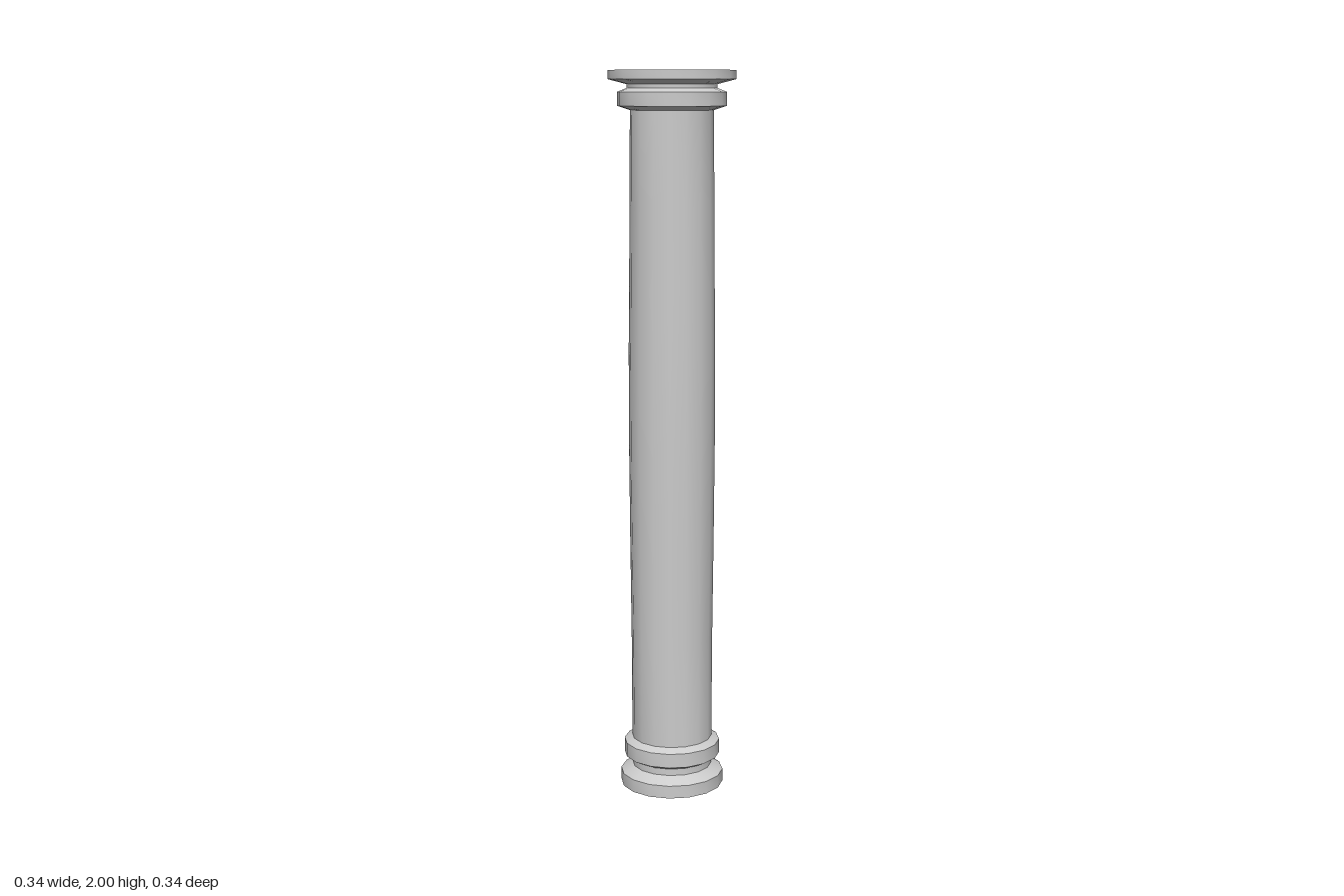
import * as THREE from 'three';
import { toCreasedNormals } from 'three/addons/utils/BufferGeometryUtils.js';

const SIDES = 16;

// Open shell turned from a [radius, height] profile, listed bottom to top
function turned(name, profile, material) {
  const points = profile.map(([r, y]) => new THREE.Vector2(r, y));
  const geometry = toCreasedNormals(new THREE.LatheGeometry(points, SIDES), Math.PI / 7);
  const mesh = new THREE.Mesh(geometry, material);
  mesh.name = name;
  return mesh;
}

export function createModel() {
  const column = new THREE.Group();
  column.name = 'column';
  const stone = new THREE.MeshStandardMaterial({ color: 0xcccccc, side: THREE.DoubleSide });

  // Base: foot ring, narrow neck and upper ring
  column.add(turned('base', [
    [0.145, 0], [0.145, 0.036], [0.112, 0.055], [0.112, 0.074],
    [0.135, 0.086], [0.135, 0.126], [0.113, 0.138],
  ], stone));

  // Shaft: hollow tube with a slight swelling at mid-height
  column.add(turned('shaft', [
    [0.113, 0.138], [0.114, 0.43], [0.117, 0.72], [0.119, 0.98],
    [0.119, 1.24], [0.117, 1.42], [0.115, 1.64], [0.113, 1.895],
  ], stone));

  // Capital: lower ring, neck and wide open rim
  column.add(turned('capital', [
    [0.113, 1.895], [0.147, 1.906], [0.147, 1.943], [0.122, 1.953],
    [0.122, 1.963], [0.172, 1.976], [0.172, 2],
  ], stone));

  return column;
}
